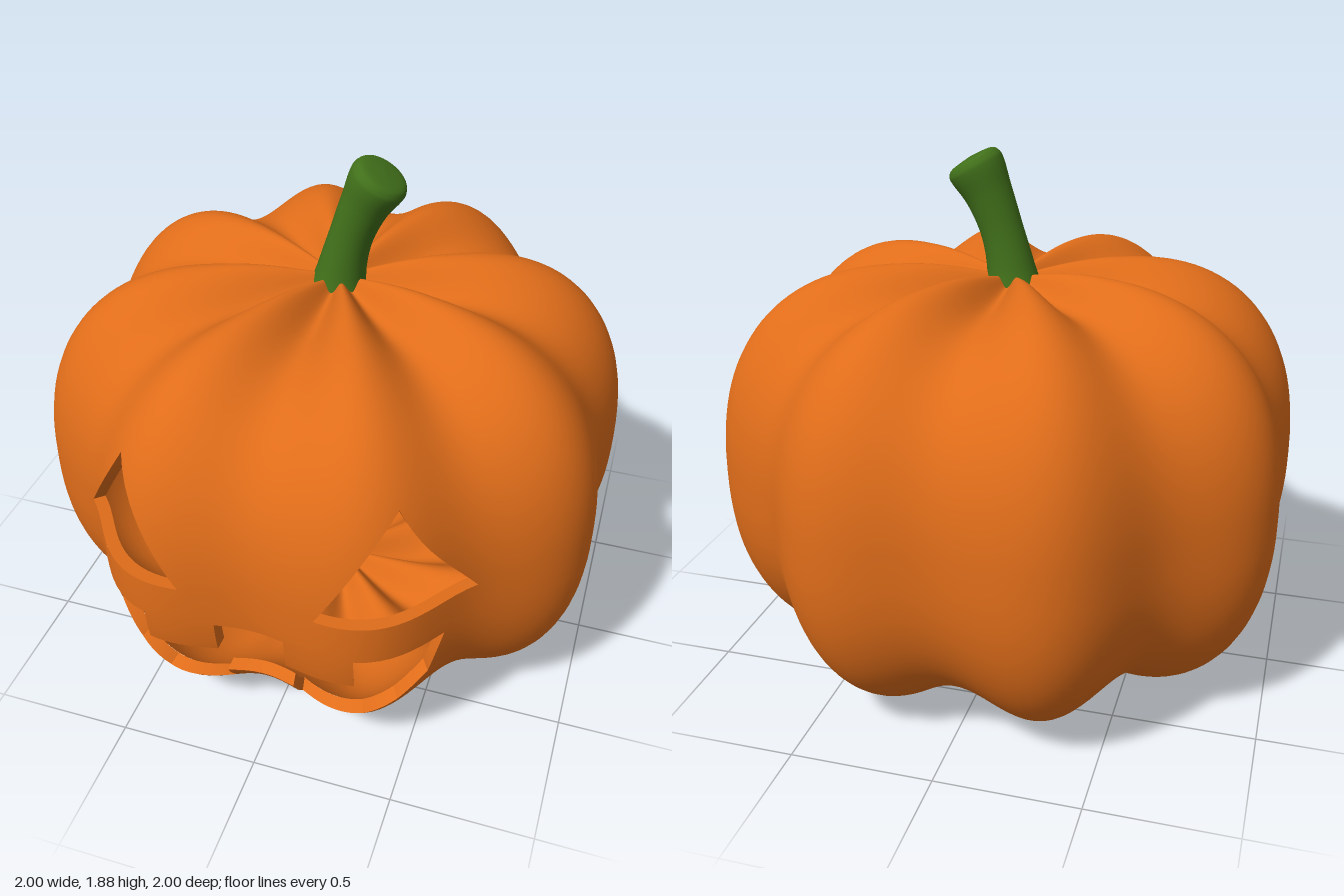
import * as THREE from 'three';
import { mergeVertices } from 'three/addons/utils/BufferGeometryUtils.js';

const MID = 0.745;            // height of the centre
const RING = 0.38, WIDE = 0.68, TALL = 0.745, POWER = 2.4; // lobe cross-section
const INNER = 0.955;          // inner skin, scaled about the centre

// Eight lobes with grooves between them
const lobe = (angle) => 1 - 0.135 * (1 + Math.cos(8 * angle)) / 2;

// Drop uv and normals, weld seams and smooth
function smooth(geo) {
  geo.deleteAttribute('uv');
  geo.deleteAttribute('normal');
  const welded = mergeVertices(geo, 1e-5);
  welded.computeVertexNormals();
  return welded;
}

// Closed ribbed skin: dimpled poles joined by a squarish bulge
function skinGeometry() {
  const cols = 176, rows = 96;
  const geo = new THREE.SphereGeometry(1, cols, rows);
  const pos = geo.attributes.position;
  for (let i = 0; i < pos.count; i++) {
    const f = Math.floor(i / (cols + 1)) / rows;
    const angle = (i % (cols + 1)) / cols * Math.PI * 2;
    const s = lobe(angle);
    let r, h;
    if (f < 0.2 || f > 0.8) {
      const top = f < 0.2, t = (top ? f : 1 - f) / 0.2;
      const hub = top ? 0.685 : 0.64;
      r = RING * t;
      h = (top ? 1 : -1) * THREE.MathUtils.lerp(hub, TALL * s, Math.sin(t * Math.PI / 2));
    } else {
      const a = (0.5 - f) / 0.3 * Math.PI / 2;
      r = RING + WIDE * s * Math.pow(Math.max(0, Math.cos(a)), 2 / POWER);
      h = TALL * s * Math.sign(a) * Math.pow(Math.abs(Math.sin(a)), 2 / POWER);
    }
    pos.setXYZ(i, -r * Math.cos(angle), MID + h, r * Math.sin(angle));
  }
  return smooth(geo);
}

// Depth of the outer skin on the front at a given x, y
function frontZ(x, y) {
  let lo = 0.3, hi = 1.3;
  for (let i = 0; i < 40; i++) {
    const z = (lo + hi) / 2, s = lobe(Math.atan2(z, x));
    const u = Math.max(0, Math.hypot(x, z) - RING) / (WIDE * s);
    const v = Math.abs(y - MID) / (TALL * s);
    if (u ** POWER + v ** POWER < 1) lo = z; else hi = z;
  }
  return lo;
}

// Keep the part of a polygon on one side of the line a-b (sign 1: left)
function clip(poly, a, b, sign) {
  const side = ({ p }) => sign * ((b[0] - a[0]) * (p.y - a[1]) - (b[1] - a[1]) * (p.x - a[0]));
  const out = [];
  poly.forEach((v, i) => {
    const w = poly[(i + 1) % poly.length], dv = side(v), dw = side(w);
    if (dv >= 0) out.push(v);
    if ((dv > 0 && dw < 0) || (dv < 0 && dw > 0)) {
      const t = dv / (dv - dw);
      out.push({ p: v.p.clone().lerp(w.p, t), n: v.n.clone().lerp(w.n, t).normalize() });
    }
  });
  return out;
}

// Pieces of a polygon lying outside a convex counter-clockwise cutter
function subtract(poly, cutter) {
  const kept = [];
  let rest = poly;
  for (let i = 0; i < cutter.length; i++) {
    const a = cutter[i], b = cutter[(i + 1) % cutter.length];
    const outside = clip(rest, a, b, -1);
    if (outside.length > 2) kept.push(outside);
    rest = clip(rest, a, b, 1);
    if (rest.length < 3) return [poly];
  }
  return kept;
}

// Cut the face openings through the front of a skin
function carve(skin, cutters) {
  const flat = skin.toNonIndexed(), { position, normal } = flat.attributes;
  const points = [], normals = [];
  for (let i = 0; i < position.count; i += 3) {
    const tri = [0, 1, 2].map((k) => ({
      p: new THREE.Vector3().fromBufferAttribute(position, i + k),
      n: new THREE.Vector3().fromBufferAttribute(normal, i + k),
    }));
    let pieces = [tri];
    if (tri.every((v) => v.p.z > 0.2)) {
      for (const c of cutters) pieces = pieces.flatMap((poly) => subtract(poly, c));
    }
    for (const poly of pieces) {
      for (let k = 1; k < poly.length - 1; k++) {
        for (const v of [poly[0], poly[k], poly[k + 1]]) {
          points.push(...v.p.toArray());
          normals.push(...v.n.toArray());
        }
      }
    }
  }
  const geo = new THREE.BufferGeometry();
  geo.setAttribute('position', new THREE.Float32BufferAttribute(points, 3));
  geo.setAttribute('normal', new THREE.Float32BufferAttribute(normals, 3));
  return geo;
}

// Same skin shrunk about the centre and facing inward
function insideOf(outer) {
  const geo = outer.clone();
  geo.translate(0, -MID, 0).scale(INNER, INNER, INNER).translate(0, MID, 0);
  const { position, normal } = geo.attributes;
  for (const attr of [position, normal]) {
    for (let i = 0; i < attr.count; i += 3) {
      const b = new THREE.Vector3().fromBufferAttribute(attr, i + 1);
      const c = new THREE.Vector3().fromBufferAttribute(attr, i + 2);
      attr.setXYZ(i + 1, c.x, c.y, c.z);
      attr.setXYZ(i + 2, b.x, b.y, b.z);
    }
  }
  for (let i = 0; i < normal.array.length; i++) normal.array[i] *= -1;
  return geo;
}

// Cut flesh joining outer and inner skin around an opening
function rimGeometry(outline) {
  const points = [], index = [], steps = 16;
  outline.forEach((a, e) => {
    const b = outline[(e + 1) % outline.length];
    for (let i = 0; i <= steps; i++) {
      const x = THREE.MathUtils.lerp(a[0], b[0], i / steps);
      const y = THREE.MathUtils.lerp(a[1], b[1], i / steps);
      const z = frontZ(x, y), n = points.length / 3;
      points.push(x, y, z, x * INNER, MID + (y - MID) * INNER, z * INNER);
      if (i < steps) index.push(n, n + 2, n + 1, n + 2, n + 3, n + 1);
    }
  });
  const geo = new THREE.BufferGeometry();
  geo.setAttribute('position', new THREE.Float32BufferAttribute(points, 3));
  geo.setIndex(index);
  geo.computeVertexNormals();
  return geo;
}

// Flared stalk, bent toward +x along an arc
function stemGeometry() {
  const profile = [[0.1, 0], [0.085, 0.07], [0.076, 0.2], [0.084, 0.33], [0.1, 0.42],
    [0.098, 0.452], [0.075, 0.472], [0, 0.48]].map(([r, s]) => new THREE.Vector2(r, s));
  const curve = new THREE.SplineCurve(profile).getPoints(42);
  curve.forEach((p) => { p.x = Math.max(0, p.x); });
  const geo = new THREE.LatheGeometry(curve, 40);
  const pos = geo.attributes.position, tilt = 0.12, bend = 0.9;
  for (let i = 0; i < pos.count; i++) {
    const x = pos.getX(i), s = pos.getY(i), a = tilt + bend * s;
    pos.setXYZ(i,
      (Math.cos(tilt) - Math.cos(a)) / bend + x * Math.cos(a),
      1.4 + (Math.sin(a) - Math.sin(tilt)) / bend - x * Math.sin(a),
      pos.getZ(i));
  }
  return smooth(geo);
}

const mirror = (outline) => outline.map(([x, y]) => [-x, y]).reverse();

export function createModel() {
  const model = new THREE.Group();
  const orange = new THREE.MeshStandardMaterial({ color: 0xe06d1a });
  const green = new THREE.MeshStandardMaterial({ color: 0x41701a });
  const add = (name, geo, material) => {
    const mesh = new THREE.Mesh(geo, material);
    mesh.name = name;
    model.add(mesh);
  };

  // Openings, counter-clockwise from the front
  const eye = [[0.23, 0.79], [0.685, 0.79], [0.455, 1.18]];
  const halfMouth = [[0.12, 0.335], [0.12, 0.21], [0.36, 0.24], [0.47, 0.33], [0.56, 0.45],
    [0.605, 0.64], [0.36, 0.64], [0.36, 0.51], [0.12, 0.51], [0.12, 0.64]];
  const mouth = [...halfMouth, ...mirror(halfMouth)];

  // Convex pieces that make up the openings
  const cheek = [[0.36, 0.24], [0.47, 0.33], [0.56, 0.45], [0.605, 0.64], [0.36, 0.64]];
  const underTooth = [[0.12, 0.21], [0.36, 0.24], [0.36, 0.51], [0.12, 0.51]];
  const middle = [[-0.12, 0.335], [0.12, 0.335], [0.12, 0.64], [-0.12, 0.64]];
  const cutters = [eye, cheek, underTooth].flatMap((c) => [c, mirror(c)]);
  cutters.push(middle);

  const outer = carve(skinGeometry(), cutters);
  add('outerSkin', outer, orange);
  add('innerSkin', insideOf(outer), orange);
  add('leftEyeRim', rimGeometry(eye), orange);
  add('rightEyeRim', rimGeometry(mirror(eye)), orange);
  add('mouthRim', rimGeometry(mouth), orange);
  add('stem', stemGeometry(), green);
  return model;
}
